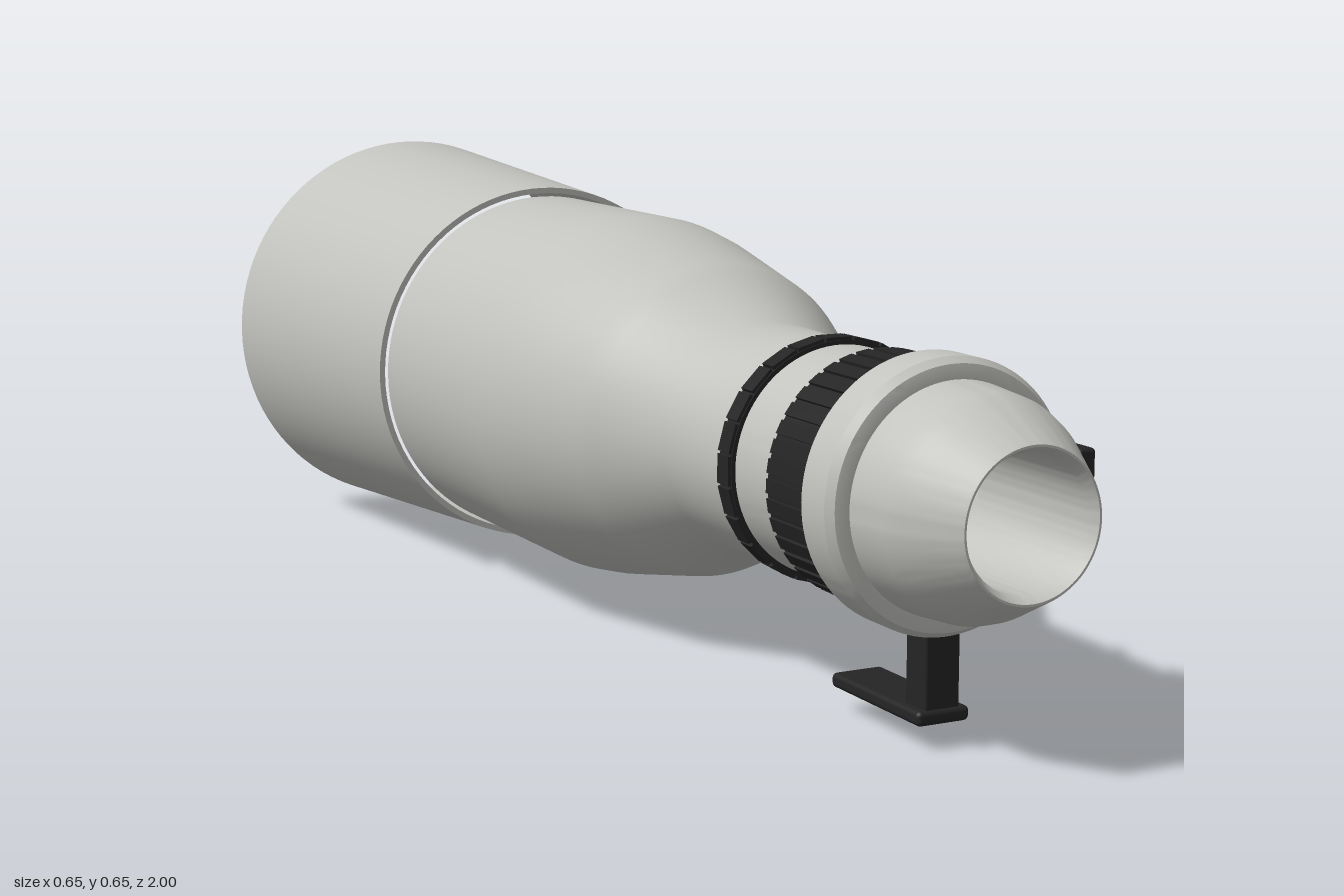
import * as THREE from 'three';
import { toCreasedNormals } from 'three/addons/utils/BufferGeometryUtils.js';
import { RoundedBoxGeometry } from 'three/addons/geometries/RoundedBoxGeometry.js';

const AXIS_Y = 0.328; // height of the optical axis

function material(name, color, side = THREE.FrontSide) {
  const m = new THREE.MeshStandardMaterial({ color, side });
  m.name = name;
  return m;
}

export function createModel() {
  const model = new THREE.Group();
  model.name = 'telephotoLens';
  const grey = material('lightGreyMetal', 0xc2c2be, THREE.DoubleSide);
  const black = material('blackRubber', 0x242424, THREE.DoubleSide);
  const white = material('switchWhite', 0xd8d8d8);

  // Everything round shares the optical axis
  const optics = new THREE.Group();
  optics.name = 'optics';
  optics.position.y = AXIS_Y;
  model.add(optics);

  function add(parent, name, geometry, mat, x = 0, y = 0, z = 0) {
    const mesh = new THREE.Mesh(geometry, mat);
    mesh.name = name;
    mesh.position.set(x, y, z);
    parent.add(mesh);
    return mesh;
  }

  // Turned part from [z, radius] pairs, running from rear to front
  function turned(name, profile, mat) {
    const points = profile.map(([z, r]) => new THREE.Vector2(r, z));
    const g = new THREE.LatheGeometry(points, 96).rotateX(Math.PI / 2);
    return add(optics, name, toCreasedNormals(g, 0.55), mat);
  }

  // Thin conical hood with a narrow lip, left open at both ends
  turned('hood', [[-0.41, 0.281], [-1, 0.325], [-1, 0.327], [-0.41, 0.29], [-0.41, 0.281]], grey);

  // Main barrel tapering to the mount end, with the bore folded inward
  turned('barrel', [
    [-0.41, 0.276], [-0.05, 0.276], [0.01, 0.268], [0.2, 0.231], [0.23, 0.219],
    [0.345, 0.163], [0.52, 0.159], [0.64, 0.155], [0.75, 0.155], [0.83, 0.152],
    [0.895, 0.147], [0.92, 0.139], [0.995, 0.102], [1, 0.099], [1, 0.096],
    [0.985, 0.088], [0.75, 0.088],
  ], grey);

  // Black ring holding the opening inside the hood
  turned('innerRing', [[-0.41, 0.25], [-0.41, 0.2755], [-0.37, 0.2755], [-0.37, 0.25], [-0.41, 0.25]], black);

  // Tripod collar with bevelled edges
  turned('tripodCollar', [
    [0.75, 0.15], [0.75, 0.175], [0.756, 0.18], [0.812, 0.18], [0.824, 0.172], [0.826, 0.162], [0.826, 0.15],
  ], grey);

  // Ribbed rubber rings
  function ribbedRing(name, z0, z1, r, count, fill) {
    turned(name, [[z0, 0.15], [z0, r - 0.004], [z1, r - 0.004], [z1, 0.15]], black);
    const width = (2 * Math.PI * r / count) * fill;
    for (let i = 0; i < count; i++) {
      const a = (i / count) * Math.PI * 2;
      const rib = add(optics, name + 'Rib', new THREE.BoxGeometry(0.01, width, z1 - z0 - 0.004), black,
        Math.cos(a) * (r - 0.005), Math.sin(a) * (r - 0.005), (z0 + z1) / 2);
      rib.rotation.z = a;
    }
  }
  ribbedRing('zoomGrip', 0.642, 0.75, 0.168, 40, 0.72);
  ribbedRing('focusRing', 0.51, 0.544, 0.168, 24, 0.9);

  // Tripod foot below the collar
  const foot = new THREE.Group();
  foot.name = 'tripodFoot';
  model.add(foot);
  add(foot, 'footPost', new RoundedBoxGeometry(0.052, 0.115, 0.048, 2, 0.004), black, 0, 0.1, 0.784);
  add(foot, 'footPlate', new RoundedBoxGeometry(0.078, 0.02, 0.218, 3, 0.007), black, 0, 0.043, 0.704);

  // Switch box standing off to the left, with two small slide switches
  const box = new THREE.Group();
  box.name = 'switchBox';
  box.position.set(0.27, AXIS_Y, 0.685);
  model.add(box);
  add(box, 'switchHousing', new RoundedBoxGeometry(0.028, 0.052, 0.098, 3, 0.006), black);
  for (const z of [-0.019, 0.019]) {
    add(box, 'switchPlate', new THREE.BoxGeometry(0.004, 0.02, 0.024), white, 0.0145, 0.002, z);
    add(box, 'switchKnob', new THREE.BoxGeometry(0.005, 0.011, 0.009), black, 0.0165, 0.002, z);
  }

  return model;
}
